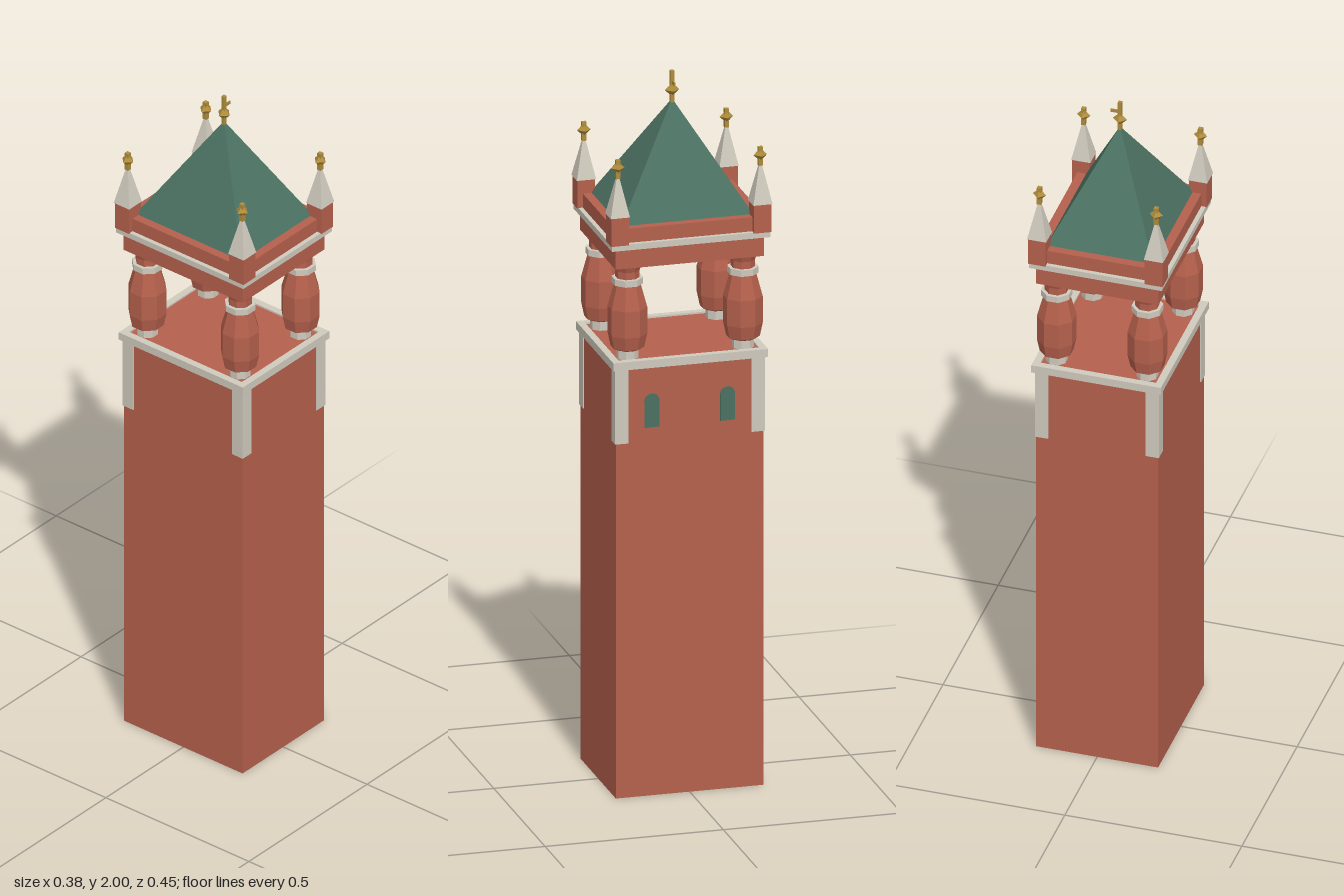
import * as THREE from 'three';

const material = (name, color, extra = {}) =>
  Object.assign(new THREE.MeshStandardMaterial({ color, ...extra }), { name });

export function createModel() {
  const brick = material('terracotta', 0xb5604c, { side: THREE.DoubleSide });
  const stone = material('pale stone', 0xcfcabd);
  const green = material('copper green', 0x4b7161);
  const gold = material('gold', 0xae8c3c);

  const model = new THREE.Group();
  model.name = 'bellTower';

  // Faceted mesh helper
  const add = (parent, name, geometry, mat, x = 0, y = 0, z = 0) => {
    const g = geometry.index ? geometry.toNonIndexed() : geometry;
    g.computeVertexNormals();
    const mesh = new THREE.Mesh(g, mat);
    mesh.name = name;
    mesh.position.set(x, y, z);
    parent.add(mesh);
    return mesh;
  };
  // Box given by half sizes and its bottom and top heights
  const block = (hx, hz, y0, y1) =>
    new THREE.BoxGeometry(2 * hx, y1 - y0, 2 * hz).translate(0, (y0 + y1) / 2, 0);
  // Rectangular pyramid given the same way
  const pyramid = (hx, hz, y0, y1) =>
    new THREE.ConeGeometry(Math.SQRT2, y1 - y0, 4, 1)
      .rotateY(Math.PI / 4).scale(hx, 1, hz).translate(0, (y0 + y1) / 2, 0);
  // Rectangular frame, open in the middle
  const frame = (hx, hz, width, y0, y1) => {
    const rect = (a, b) => [[-a, -b], [a, -b], [a, b], [-a, b]].map(p => new THREE.Vector2(...p));
    const shape = new THREE.Shape(rect(hx, hz));
    shape.holes.push(new THREE.Path(rect(hx - width, hz - width)));
    return new THREE.ExtrudeGeometry(shape, { depth: y1 - y0, bevelEnabled: false })
      .rotateX(-Math.PI / 2).translate(0, y0, 0);
  };
  // Eight-sided turned section, flat face to the front
  const turned = points =>
    new THREE.LatheGeometry(points.map(([r, y]) => new THREE.Vector2(r, y)), 8, Math.PI / 8);

  // Hollow shaft, open at the bottom, with the belfry floor on top
  const shaft = new THREE.CylinderGeometry(Math.SQRT2, Math.SQRT2, 1.23, 4, 1, true)
    .rotateY(Math.PI / 4).scale(0.172, 1, 0.207).translate(0, 0.615, 0);
  add(model, 'shaft', shaft, brick);
  add(model, 'belfryFloor', block(0.17, 0.205, 1.225, 1.24), brick);
  add(model, 'floorCornice', frame(0.183, 0.217, 0.02, 1.222, 1.245), stone);

  // Arched windows on one side
  const arch = new THREE.Shape();
  arch.moveTo(-0.021, 0);
  arch.lineTo(0.021, 0);
  arch.lineTo(0.021, 0.075);
  arch.absarc(0, 0.075, 0.021, 0, Math.PI, false);
  arch.closePath();
  for (const z of [-0.106, 0.106]) {
    const plate = new THREE.ExtrudeGeometry(arch, { depth: 0.005, bevelEnabled: false, curveSegments: 4 });
    add(model, 'archedWindow', plate.rotateY(Math.PI / 2), green, 0.17, 1.05, z);
  }

  for (const sx of [-1, 1]) for (const sz of [-1, 1]) {
    // Corner strips below the belfry
    add(model, 'cornerStrip', block(0.0185, 0.0185, 1.01, 1.222), stone, sx * 0.1565, 0, sz * 0.1915);

    // Baluster columns
    const column = new THREE.Group();
    column.name = 'belfryColumn';
    column.position.set(sx * 0.128, 0, sz * 0.162);
    model.add(column);
    add(column, 'columnBase', turned([[0, 1.238], [0.03, 1.238], [0.03, 1.268], [0, 1.268]]), stone);
    add(column, 'columnBody', turned([[0.034, 1.266], [0.046, 1.272], [0.054, 1.31], [0.054, 1.385],
      [0.035, 1.455]]), brick);
    add(column, 'columnRing', turned([[0, 1.452], [0.043, 1.452], [0.043, 1.47], [0, 1.47]]), stone);
    add(column, 'columnNeck', turned([[0.033, 1.468], [0.033, 1.49], [0.041, 1.512]]), brick);

    // Corner pinnacles
    const pinnacle = new THREE.Group();
    pinnacle.name = 'cornerPinnacle';
    pinnacle.position.set(sx * 0.165, 0, sz * 0.2);
    model.add(pinnacle);
    add(pinnacle, 'pinnacleBlock', block(0.025, 0.025, 1.58, 1.66), brick);
    add(pinnacle, 'pinnacleSpire', pyramid(0.027, 0.027, 1.66, 1.785), stone);
    add(pinnacle, 'finialStem', block(0.006, 0.006, 1.765, 1.818), gold);
    add(pinnacle, 'finialKnob', new THREE.OctahedronGeometry(0.019), gold, 0, 1.795, 0);
  }

  // Beam, cornice and attic above the columns
  add(model, 'beam', block(0.173, 0.208, 1.508, 1.565), brick);
  add(model, 'roofCornice', block(0.1875, 0.2225, 1.565, 1.582), stone);
  add(model, 'attic', block(0.175, 0.21, 1.582, 1.622), brick);

  // Roof, finial and small vane
  add(model, 'roof', pyramid(0.15, 0.185, 1.622, 1.92), green);
  add(model, 'roofFinialRod', block(0.005, 0.005, 1.9, 2), gold);
  add(model, 'roofFinialKnob', new THREE.OctahedronGeometry(0.02), gold, 0, 1.945, 0);
  add(model, 'vane', new THREE.BoxGeometry(0.024, 0.009, 0.004), gold, 0.014, 1.968, 0);

  return model;
}
